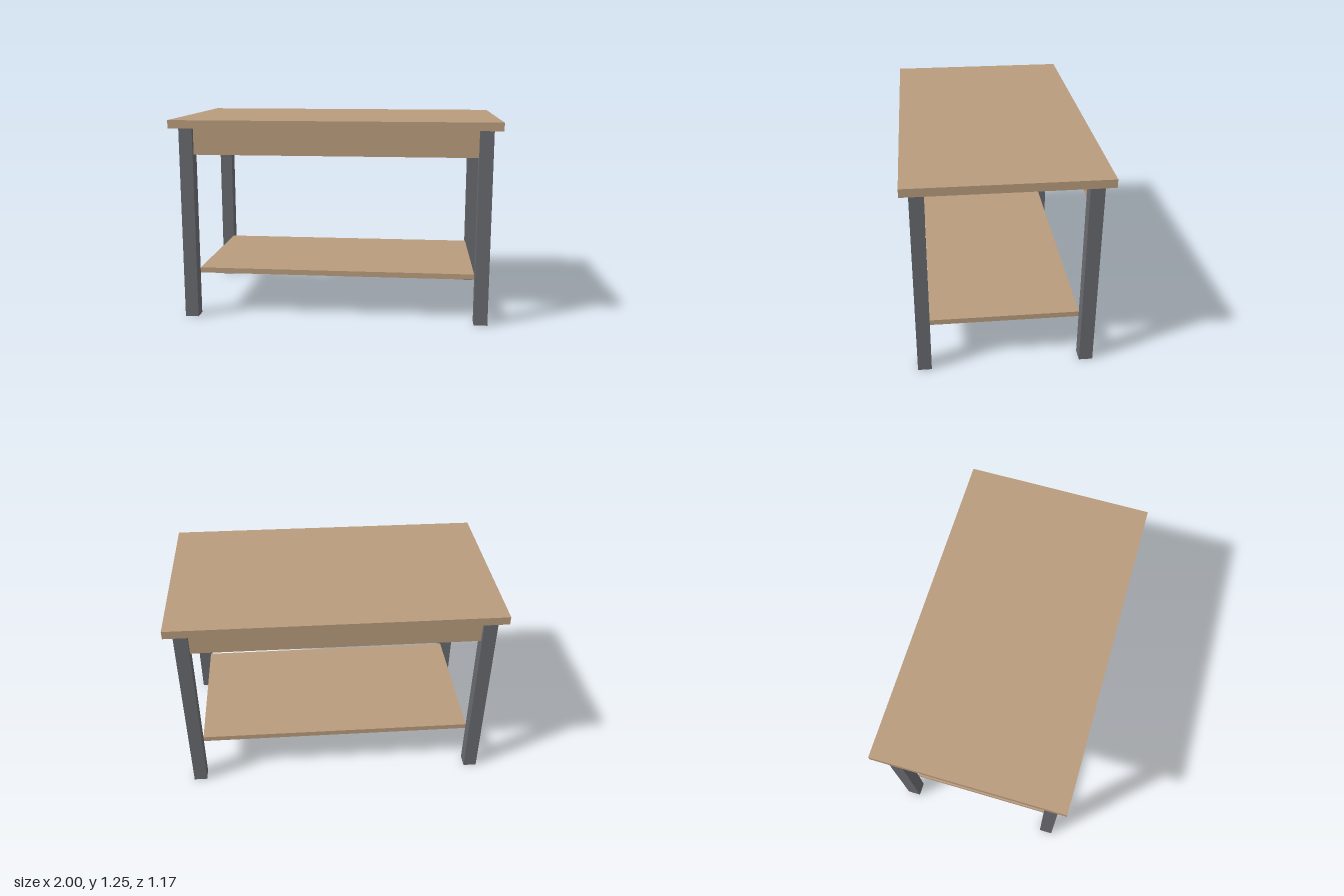
import * as THREE from 'three';

export function createModel() {
  const model = new THREE.Group();
  model.name = 'workTable';

  const wood = new THREE.MeshStandardMaterial({ color: 0xb89b7c });
  wood.name = 'wood';
  const metal = new THREE.MeshStandardMaterial({ color: 0x68696e });
  metal.name = 'dark grey metal';

  // Box with its centre at x, z and its underside at y
  function addBox(name, material, w, h, d, x, y, z) {
    const mesh = new THREE.Mesh(new THREE.BoxGeometry(w, h, d), material);
    mesh.name = name;
    mesh.position.set(x, y + h / 2, z);
    model.add(mesh);
  }

  const legX = 0.9083, legZ = 0.4917, legSize = 0.0833, legHeight = 1.2;
  const innerWidth = 2 * legX - legSize;
  const innerDepth = 2 * legZ - legSize;

  // Table top and lower shelf
  addBox('tableTop', wood, 2, 0.05, 1.1667, 0, legHeight, 0);
  addBox('lowerShelf', wood, innerWidth, 0.0333, innerDepth, 0, 0.2667, 0);

  // Front and back: an apron centred between two legs
  for (const [end, sz] of [['front', 1], ['back', -1]]) {
    addBox(end + 'Apron', wood, innerWidth, 0.1667, 0.0333, 0, legHeight - 0.1667, sz * legZ);
    for (const [side, sx] of [['Left', 1], ['Right', -1]]) {
      addBox(end + side + 'Leg', metal, legSize, legHeight, legSize, sx * legX, 0, sz * legZ);
    }
  }

  return model;
}
